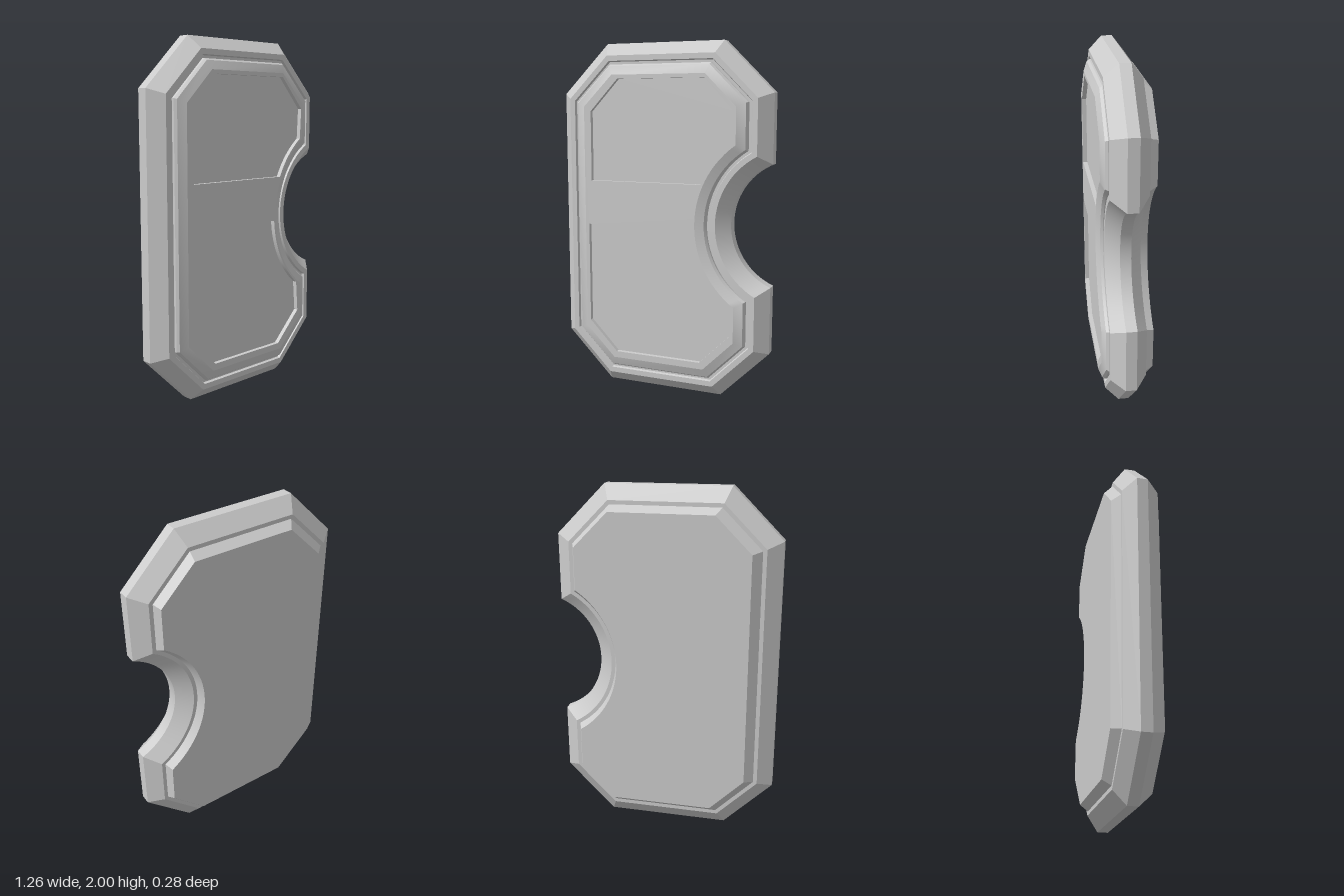
import * as THREE from 'three';
import { toCreasedNormals } from 'three/addons/utils/BufferGeometryUtils.js';

const CX = 0.766, CY = 1, R = 0.366; // circular notch in the +x side
const ARC = 28;

// Points on a notch-concentric arc, from angle a0 to a1
function arcPoints(radius, a0, a1, n, shift = 0) {
  return Array.from({ length: n + 1 }, (_, i) => {
    const a = a0 + (a1 - a0) * i / n;
    return new THREE.Vector2(CX + shift + radius * Math.cos(a), CY + radius * Math.sin(a));
  });
}

// Notched octagon, inset by d, counter-clockwise from the front
function outline(d, shift = 0) {
  const k = d * Math.tan(Math.PI / 8);
  const x = 0.63 - d, cx = 0.35 - k, lo = 0.28 + k, hi = 1.72 - k;
  const a = Math.acos((CX - x) / (R + d));
  const v = (px, py) => new THREE.Vector2(px + shift, py);
  return [
    v(-cx, d), v(cx, d), v(x, lo),
    ...arcPoints(R + d, Math.PI + a, Math.PI - a, ARC, shift),
    v(x, hi), v(cx, 2 - d), v(-cx, 2 - d), v(-x, hi), v(-x, lo),
  ];
}

// Skin between matching closed loops [{ pts, z }], ordered back to front
function loft(loops) {
  const n = loops[0].pts.length, pos = [], idx = [];
  loops.forEach(({ pts, z }) => pts.forEach(p => pos.push(p.x, p.y, z)));
  for (let k = 0; k < loops.length - 1; k++) {
    for (let i = 0; i < n; i++) {
      const j = (i + 1) % n, a = k * n, b = a + n;
      idx.push(a + i, a + j, b + j, a + i, b + j, b + i);
    }
  }
  const g = new THREE.BufferGeometry();
  g.setAttribute('position', new THREE.Float32BufferAttribute(pos, 3));
  g.setIndex(idx);
  return toCreasedNormals(g, 0.45);
}

// Flat face at depth z, facing front or back
function face(pts, z, holes = [], back = false) {
  const shape = new THREE.Shape(pts);
  shape.holes = holes.map(h => new THREE.Path(h));
  const g = new THREE.ShapeGeometry(shape);
  if (back) {
    const ix = g.index.array;
    for (let i = 0; i < ix.length; i += 3) [ix[i], ix[i + 1]] = [ix[i + 1], ix[i]];
    g.computeVertexNormals();
  }
  return g.translate(0, 0, z);
}

export function createModel() {
  const root = new THREE.Group();
  root.name = 'notchedPlate';
  const material = new THREE.MeshStandardMaterial({ color: 0xcccccc });
  const add = (name, geometry, parent = root) => {
    const mesh = new THREE.Mesh(geometry, material);
    mesh.name = name;
    parent.add(mesh);
  };
  const rings = list => loft(list.map(([d, z, s]) => ({ pts: outline(d, s), z })));

  // Outer rim: bevels on both sides of a narrow belt, groove on the front
  add('rim', rings([
    [0.11, -0.095], [0.083, -0.095], [0, -0.03], [0, 0.03],
    [0.07, 0.105], [0.1, 0.105], [0.105, 0.09], [0.12, 0.09],
  ]));

  // Raised back plate
  add('backPlateEdge', rings([[0.14, -0.14, 0.015], [0.105, -0.095]]));
  add('backPlate', face(outline(0.14, 0.015), -0.14, [], true));

  // Pocket outlines, following the notch on their +x side
  const PR = 0.556, v = (x, y) => new THREE.Vector2(x, y);
  const angle = (x, y) => Math.atan2(y - CY, x - CX) + (y < CY ? 2 * Math.PI : 0);
  const upper = [
    v(-0.41, 1.225),
    ...arcPoints(PR, angle(0.26, 1.225), angle(0.432, 1.443), 10),
    v(0.44, 1.62), v(0.275, 1.8), v(-0.24, 1.8), v(-0.41, 1.62),
  ];
  const lower = [
    v(-0.26, 0.215), v(0.255, 0.215), v(0.43, 0.39),
    ...arcPoints(PR, angle(0.42, 0.575), angle(0.21, 0.97), 12),
    v(-0.43, 0.97), v(-0.43, 0.39),
  ];

  // Raised front panel with a bevelled edge
  add('frontPanelEdge', rings([[0.12, 0.09], [0.12, 0.105], [0.13, 0.12], [0.178, 0.14]]));
  add('frontPanel', face(outline(0.178), 0.14, [upper, lower]));

  // Recessed pockets
  for (const [name, pts] of [['upperPocket', upper], ['lowerPocket', lower]]) {
    const pocket = new THREE.Group();
    pocket.name = name;
    root.add(pocket);
    const inner = [...pts].reverse();
    add(name + 'Wall', loft([{ pts: inner, z: 0.115 }, { pts: inner, z: 0.14 }]), pocket);
    add(name + 'Floor', face(pts, 0.115), pocket);
  }
  return root;
}
